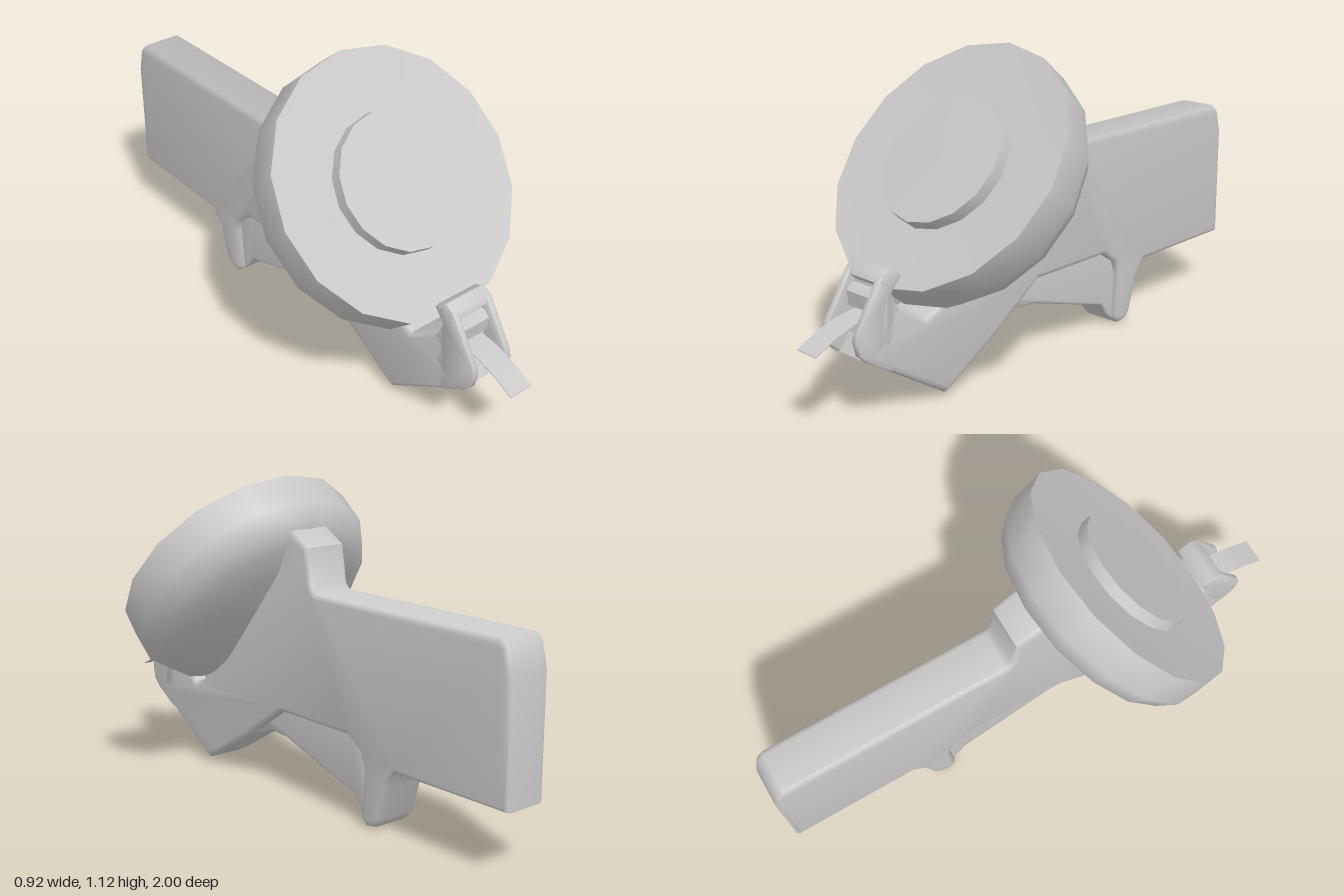
import * as THREE from 'three';
import { toCreasedNormals } from 'three/addons/utils/BufferGeometryUtils.js';

export function createModel() {
  const group = new THREE.Group();
  group.name = 'labelMaker';
  const grey = new THREE.MeshStandardMaterial({ color: 0xc8c8c8 });
  grey.name = 'plainGrey';

  const add = (name, geometry) => {
    const mesh = new THREE.Mesh(toCreasedNormals(geometry, 0.85), grey);
    mesh.name = name;
    group.add(mesh);
    return mesh;
  };

  // Side outline of [z, y] points, extruded across x with softened edges
  const slab = (name, outline, halfWidth, bevel, centreX = 0) => {
    const shape = new THREE.Shape(outline.map(([z, y]) => new THREE.Vector2(z, y)));
    const depth = 2 * (halfWidth - bevel);
    const geometry = new THREE.ExtrudeGeometry(shape, {
      depth, steps: 1, bevelEnabled: bevel > 0, bevelThickness: bevel,
      bevelSize: bevel, bevelOffset: -bevel, bevelSegments: 3,
    });
    geometry.translate(0, 0, -depth / 2);
    geometry.rotateY(-Math.PI / 2);
    geometry.translate(centreX, 0, 0);
    return add(name, geometry);
  };

  // Handle, neck and nose base in one shell
  slab('body', [
    [-1, 0.225], [-0.53, 0.222], [-0.485, 0.16], [-0.45, 0.04], [-0.425, 0.01],
    [-0.385, 0.004], [-0.36, 0.03], [-0.375, 0.2], [-0.355, 0.255], [-0.29, 0.298],
    [0.06, 0.298], [0.26, 0.16], [0.45, 0.047], [0.505, 0.018], [0.828, 0.225],
    [0.78, 0.29], [0.718, 0.395], [0.585, 0.302], [0.53, 0.325], [0.51, 0.4],
    [0.07, 0.93], [0, 0.95], [-0.085, 0.9], [-0.105, 0.77], [-0.125, 0.75],
    [-0.955, 0.75], [-0.98, 0.725], [-1, 0.64],
  ], 0.085, 0.02);

  // Trigger, narrower than the handle
  slab('trigger', [
    [0.28, 0.155], [0.3, 0.3], [0.06, 0.36], [-0.3, 0.36], [-0.41, 0.25],
    [-0.39, 0.03], [-0.365, 0.018], [-0.335, 0.045], [-0.305, 0.09],
    [0.06, 0.2], [0.14, 0.206],
  ], 0.062, 0.012);

  // Tape outlet: rear wall with lintel, and two cheeks
  slab('outletFrame', [
    [0.7, 0.37], [0.715, 0.39], [0.728, 0.43], [0.69, 0.475], [0.7, 0.49],
    [0.735, 0.51], [0.768, 0.492], [0.778, 0.472], [0.753, 0.45], [0.768, 0.37],
    [0.79, 0.26], [0.74, 0.24],
  ], 0.085, 0.006);
  for (const side of [1, -1]) {
    slab(side > 0 ? 'leftCheek' : 'rightCheek', [
      [0.7, 0.3], [0.716, 0.39], [0.728, 0.43], [0.705, 0.475], [0.735, 0.508],
      [0.77, 0.49], [0.868, 0.335], [0.876, 0.305], [0.864, 0.257], [0.835, 0.229],
      [0.74, 0.17],
    ], 0.0125, 0.006, side * 0.0725);
  }
  // Guide bar inside the outlet
  slab('tapeGuide', [[0.74, 0.37], [0.785, 0.37], [0.79, 0.42], [0.77, 0.44], [0.74, 0.44]], 0.062, 0);

  // Curling strip of tape
  const path = [[0.755, 0.36], [0.85, 0.347], [0.93, 0.321], [1, 0.286]];
  slab('tape', [...path, ...path.map(([z, y]) => [z, y + 0.003]).reverse()], 0.046, 0);

  // Tilted letter wheel: profiles of [radius, height along axis]
  const wheel = new THREE.Group();
  wheel.name = 'letterWheel';
  wheel.position.set(0, 0.77, 0.41);
  wheel.rotation.x = 0.875;
  group.add(wheel);
  const turn = (name, profile) => {
    const points = profile.map(([r, h]) => new THREE.Vector2(r, h));
    wheel.add(add(name, new THREE.LatheGeometry(points, 16)));
  };
  turn('wheelDisc', [
    [0, -0.25], [0.25, -0.248], [0.35, -0.225], [0.415, -0.196], [0.458, -0.126],
    [0.458, 0], [0.25, -0.012], [0, -0.012],
  ]);
  turn('wheelHub', [[0.238, -0.02], [0.236, 0.032], [0, 0.032]]);

  return group;
}
